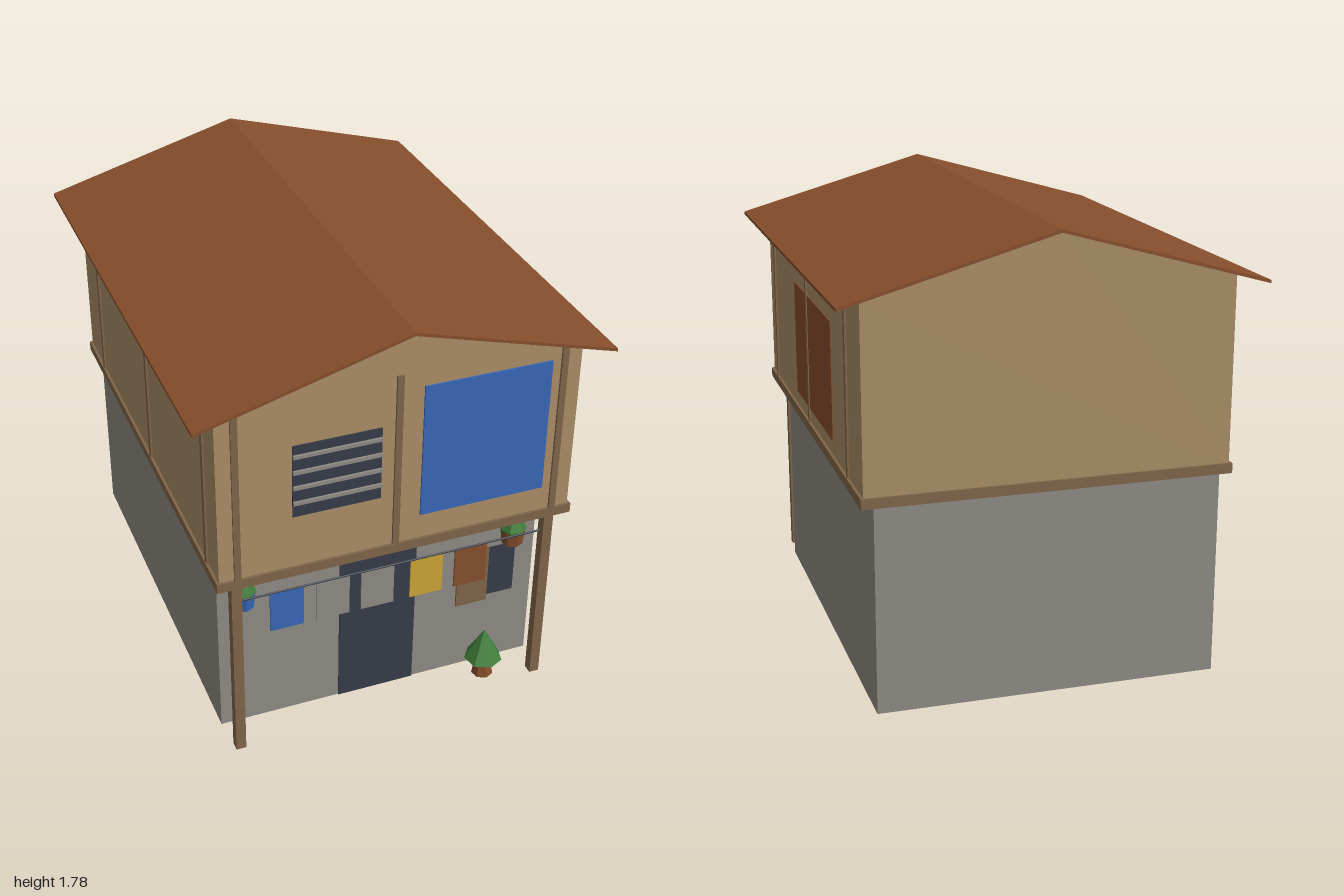
import * as THREE from 'three';

const mat = (name, color, extra = {}) =>
  Object.assign(new THREE.MeshStandardMaterial({ color, ...extra }), { name });

export function createModel() {
  const house = new THREE.Group();
  house.name = 'stiltHouse';

  const M = {
    concrete: mat('concrete grey', 0x8e8983),
    board: mat('board tan', 0xa98c65),
    timber: mat('timber brown', 0x7f6448),
    rust: mat('rust', 0x864e2c),
    dark: mat('dark slate', 0x353b47),
    blue: mat('tarp blue', 0x3667b7),
    yellow: mat('cloth yellow', 0xcba336),
    green: mat('leaf green', 0x3f7d3a, { flatShading: true }),
    clayPot: mat('pot rust', 0x864e2c, { flatShading: true }),
    bluePot: mat('pot blue', 0x3667b7, { flatShading: true }),
  };

  const add = (name, geometry, material, x = 0, y = 0, z = 0, parent = house) => {
    const mesh = new THREE.Mesh(geometry, material);
    mesh.name = name;
    mesh.position.set(x, y, z);
    parent.add(mesh);
    return mesh;
  };
  // Box given by its min and max on each axis
  const box = (name, material, x0, x1, y0, y1, z0, z1) =>
    add(name, new THREE.BoxGeometry(x1 - x0, y1 - y0, z1 - z0), material,
      (x0 + x1) / 2, (y0 + y1) / 2, (z0 + z1) / 2);
  // Outline in x and y, extruded along z and centred
  const prism = (name, material, points, depth) => {
    const shape = new THREE.Shape(points.map(([x, y]) => new THREE.Vector2(x, y)));
    const geometry = new THREE.ExtrudeGeometry(shape, { depth, bevelEnabled: false });
    return add(name, geometry.translate(0, 0, -depth / 2), material);
  };

  // Ground floor, floor slab and gabled upper storey
  box('groundFloor', M.concrete, -0.665, 0.665, 0, 0.805, -0.92, 0.755);
  box('floorBeam', M.timber, -0.713, 0.713, 0.803, 0.842, -0.93, 0.93);
  prism('upperStorey', M.board,
    [[-0.702, 0.84], [0.702, 0.84], [0.702, 1.566], [0, 1.764], [-0.702, 1.566]], 1.84);

  // Thin pitched roof
  prism('roof', M.rust,
    [[-0.8, 1.54], [0, 1.766], [0.8, 1.54], [0.8, 1.552], [0, 1.778], [-0.8, 1.552]], 2);

  // Battens on the front and on both sides
  for (const x of [-0.632, -0.016, 0.632])
    box('frontBatten', M.timber, x - 0.013, x + 0.013, 0.84, 1.57, 0.915, 0.929);
  for (const side of [-1, 1])
    for (const z of [0.785, 0.05, -0.685])
      add('sideBatten', new THREE.BoxGeometry(0.014, 0.71, 0.025), M.timber,
        side * 0.703, 1.195, z);

  // Upper window with slats, tarp and side panel
  box('upperWindow', M.dark, -0.42, -0.08, 1.066, 1.368, 0.919, 0.926);
  for (let i = 0; i < 4; i++) {
    const y = 1.127 + i * 0.066;
    box('windowSlat', M.concrete, -0.42, -0.08, y - 0.007, y + 0.007, 0.924, 0.936);
  }
  box('tarp', M.blue, 0.08, 0.583, 0.948, 1.505, 0.919, 0.927);
  box('sidePanel', M.rust, 0.699, 0.706, 0.9, 1.368, -0.418, 0.316);

  // Door, lower window and its shutter
  box('door', M.dark, -0.17, 0.15, 0.001, 0.705, 0.753, 0.761);
  box('lowerWindow', M.dark, 0.34, 0.583, 0.337, 0.572, 0.753, 0.761);
  box('shutter', M.timber, 0.33, 0.465, 0.317, 0.583, 0.76, 0.768);

  // Front posts
  for (const side of [-1, 1]) {
    const x = side * 0.634;
    box('frontPost', M.timber, x - 0.02, x + 0.02, 0, 0.805, 0.871, 0.911);
  }

  // Washing line between the posts
  const line = new THREE.CylinderGeometry(0.004, 0.004, 1.23, 6).rotateZ(Math.PI / 2);
  add('washingLine', line, M.dark, 0, 0.713, 0.89);
  const cloths = [[-0.433, M.blue], [-0.25, M.concrete], [-0.069, M.concrete],
    [0.133, M.yellow], [0.318, M.rust]];
  for (const [x, material] of cloths)
    box('cloth', material, x - 0.067, x + 0.067, 0.537, 0.709, 0.887, 0.893);

  // Hanging plants
  const hangingPlant = (x, potMaterial) => {
    const plant = new THREE.Group();
    plant.name = 'hangingPlant';
    plant.position.set(x, 0, 0.82);
    house.add(plant);
    add('pot', new THREE.CylinderGeometry(0.05, 0.042, 0.07, 7), potMaterial, 0, 0.665, 0, plant);
    add('leaves', new THREE.SphereGeometry(0.053, 7, 4), M.green, 0, 0.7, 0, plant);
    add('cord', new THREE.CylinderGeometry(0.002, 0.002, 0.06, 5), M.dark, 0, 0.776, 0, plant);
  };
  hangingPlant(-0.582, M.bluePot);
  hangingPlant(0.533, M.clayPot);

  // Potted tree by the entrance
  const tree = new THREE.Group();
  tree.name = 'pottedTree';
  tree.position.set(0.433, 0, 0.836);
  house.add(tree);
  add('pot', new THREE.CylinderGeometry(0.032, 0.044, 0.09, 7), M.clayPot, 0, 0.045, 0, tree);
  add('foliage', new THREE.ConeGeometry(0.078, 0.138, 7), M.green, 0, 0.151, 0, tree);

  return house;
}
